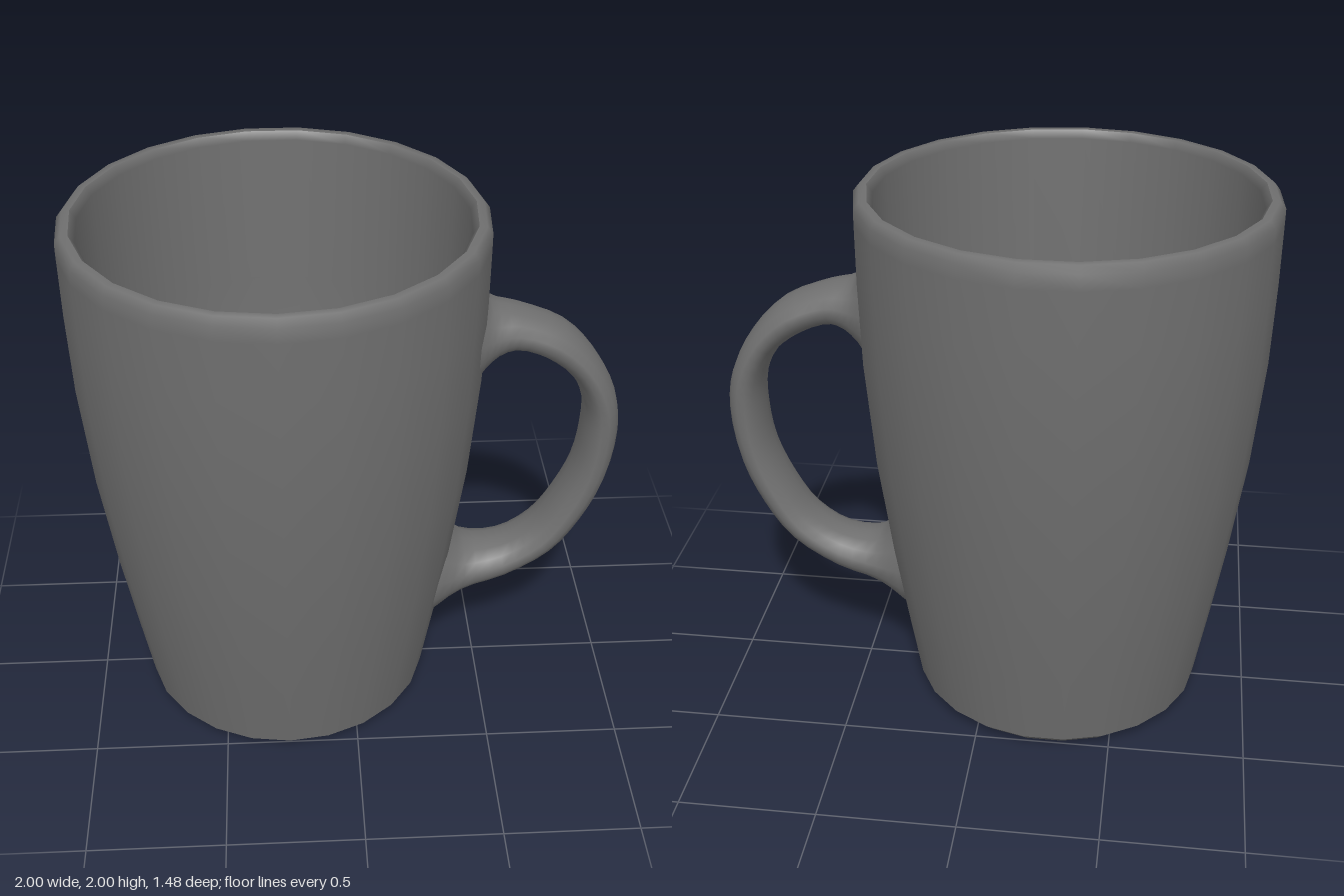
import * as THREE from 'three';

const material = new THREE.MeshStandardMaterial({ color: 0x6f6f6f });
const SIDES = 23;

// Smooth surface of revolution; separate pieces meet at hard edges
function turned(name, profile) {
  const points = profile.map(([r, y]) => new THREE.Vector2(r, y));
  const mesh = new THREE.Mesh(new THREE.LatheGeometry(points, SIDES), material);
  mesh.name = name;
  return mesh;
}

// Tapered cup
function makeBody() {
  const body = new THREE.Group();
  body.name = 'cupBody';
  body.position.x = -0.26;
  body.add(
    turned('base', [[0, 0], [0.49, 0], [0.545, 0.05]]),
    turned('wall', [
      [0.545, 0.05], [0.594, 0.33], [0.642, 0.62], [0.695, 1.0], [0.73, 1.4], [0.74, 1.7],
      [0.742, 1.92], [0.742, 1.975], [0.722, 2], [0.695, 2],
    ]),
    turned('lining', [
      [0.695, 2], [0.675, 1.97], [0.665, 1.4], [0.63, 1.0], [0.58, 0.62], [0.53, 0.33], [0.48, 0.1],
    ]),
    turned('floor', [[0.48, 0.1], [0, 0.1]]),
  );
  return body;
}

// Handle: elliptical rings spanned between an outer and an inner edge line
function makeHandle() {
  // outer x, y, inner x, y, half width
  const sections = [
    [0.47, 1.71, 0.45, 1.33, 0.228],
    [0.497, 1.64, 0.495, 1.42, 0.16],
    [0.6, 1.612, 0.575, 1.46, 0.127],
    [0.77, 1.54, 0.69, 1.425, 0.123],
    [0.89, 1.415, 0.8, 1.34, 0.123],
    [0.972, 1.26, 0.855, 1.22, 0.123],
    [0.996, 1.11, 0.86, 1.09, 0.123],
    [0.967, 0.89, 0.838, 0.94, 0.123],
    [0.895, 0.715, 0.77, 0.775, 0.123],
    [0.783, 0.555, 0.69, 0.655, 0.123],
    [0.6, 0.435, 0.575, 0.582, 0.125],
    [0.42, 0.378, 0.44, 0.578, 0.155],
    [0.305, 0.27, 0.38, 0.67, 0.218],
  ];
  const curve = (f) => new THREE.CatmullRomCurve3(sections.map(f));
  const outer = curve((s) => new THREE.Vector3(s[0], s[1], s[4]));
  const inner = curve((s) => new THREE.Vector3(s[2], s[3], s[4]));
  const rings = 36, sides = 14, positions = [], index = [];

  for (let i = 0; i <= rings; i++) {
    const t = i / rings;
    const o = outer.getPoint(t), n = inner.getPoint(t);
    // The flared roots wrap around the cup wall
    const root = Math.max(0, 1 - Math.min(t, 1 - t) * 12);
    for (let j = 0; j < sides; j++) {
      const a = (j / sides) * Math.PI * 2;
      const k = (1 + Math.cos(a)) / 2;
      const z = o.z * Math.sin(a);
      positions.push(n.x + (o.x - n.x) * k - root * (z * z / 1.35 + 0.01), n.y + (o.y - n.y) * k, z);
    }
  }
  for (let i = 0; i < rings; i++) {
    for (let j = 0; j < sides; j++) {
      const a = i * sides + j, b = i * sides + (j + 1) % sides;
      index.push(a, b, a + sides, b, b + sides, a + sides);
    }
  }
  const geometry = new THREE.BufferGeometry();
  geometry.setAttribute('position', new THREE.Float32BufferAttribute(positions, 3));
  geometry.setIndex(index);
  geometry.computeVertexNormals();
  const handle = new THREE.Mesh(geometry, material);
  handle.name = 'handle';
  return handle;
}

export function createModel() {
  const mug = new THREE.Group();
  mug.name = 'mug';
  mug.add(makeBody(), makeHandle());
  return mug;
}
